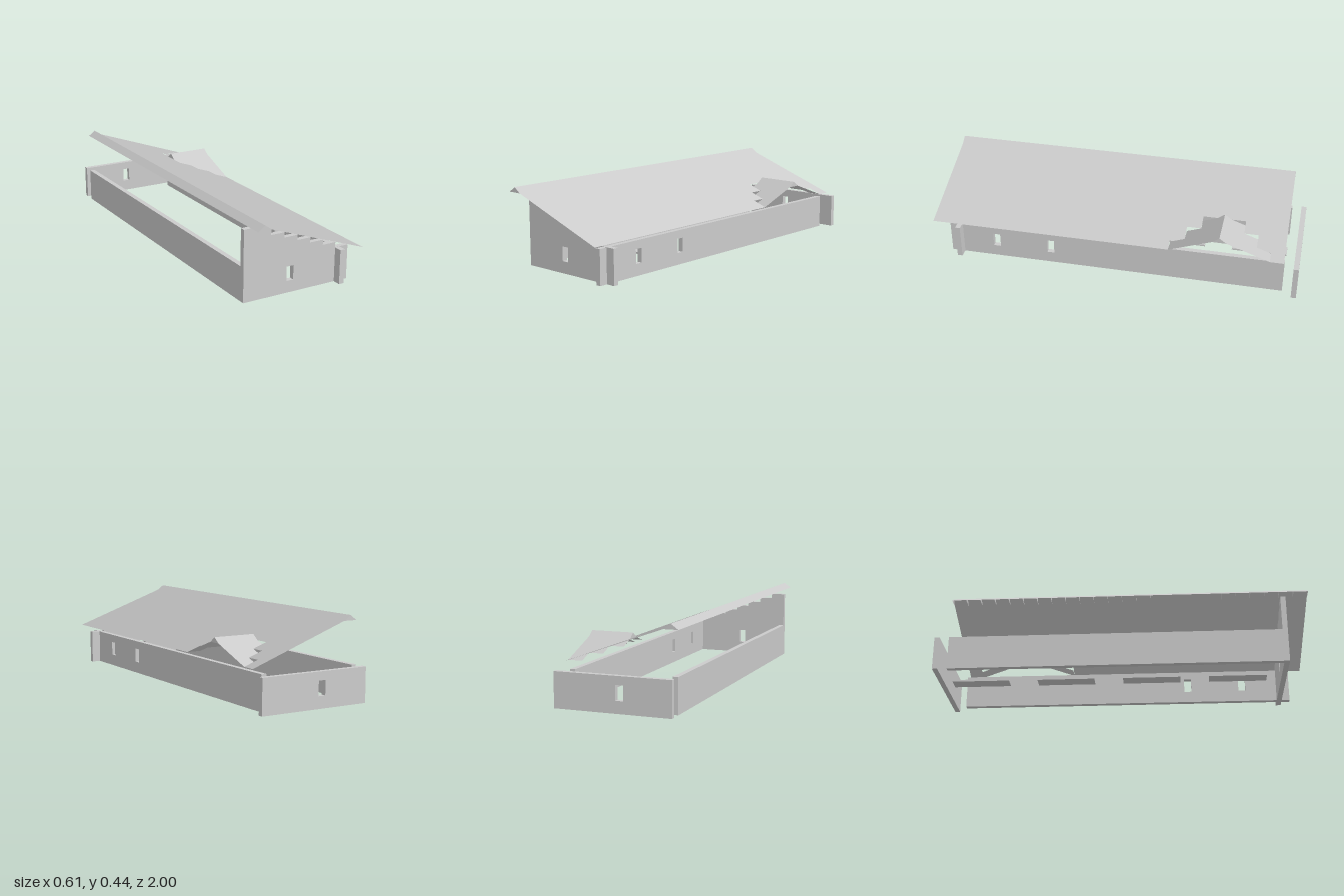
import * as THREE from 'three';

const S = 0.0768;   // roof module width
const D = 0.0275;   // drop per module
const T = 0.0276;   // wall thickness
const X = 4 * S;    // half width of the house
const BASE = 0.01;
const EAVE = 0.222;

const solid = new THREE.MeshStandardMaterial({ color: 0xcccccc, flatShading: true });
const roof = new THREE.MeshStandardMaterial({ color: 0xcccccc, side: THREE.DoubleSide });

function add(parent, name, geometry, material = solid) {
  const mesh = new THREE.Mesh(geometry, material);
  mesh.name = name;
  parent.add(mesh);
  return mesh;
}

function polygon(points) {
  return new THREE.Shape(points.map(([x, y]) => new THREE.Vector2(x, y)));
}

// Wall panel with window openings, each given by its centre
function panel(outline, windows) {
  const shape = polygon(outline);
  for (const u of windows) {
    const w = 0.02;
    shape.holes.push(polygon([[u - w, 0.073], [u - w, 0.149], [u + w, 0.149], [u + w, 0.073]]));
  }
  return new THREE.ExtrudeGeometry(shape, { depth: T, bevelEnabled: false });
}

function rectangle(a, b, bottom, top) {
  return [[a, bottom], [b, bottom], [b, top], [a, top]];
}

// One normal for a whole roof side, so that cap and slope shade as one surface
function shadeAs(geometry, x, z) {
  const n = new THREE.Vector3(x, 1, z).normalize();
  const count = geometry.attributes.position.count;
  const values = Array.from({ length: count }, () => n.toArray()).flat();
  geometry.setAttribute('normal', new THREE.Float32BufferAttribute(values, 3));
  return geometry;
}

function quad(a, b, c, d) {
  const g = new THREE.BufferGeometry();
  g.setAttribute('position', new THREE.Float32BufferAttribute([a, b, c, a, c, d].flat(), 3));
  return g;
}

// Open-bottomed ridge cap running along +z, with a triangular rib per module
function ridgeCap(name, modules) {
  const group = new THREE.Group();
  group.name = name;
  const w = S / 2, L = modules * S;
  const left = quad([-w, 0, 0], [-w, 0, L], [0, D, L], [0, D, 0]);
  const right = quad([0, D, 0], [0, D, L], [w, 0, L], [w, 0, 0]);
  add(group, 'capLeftSlope', shadeAs(left, -1, 0), roof);
  add(group, 'capRightSlope', shadeAs(right, 1, 0), roof);
  const rib = new THREE.ShapeGeometry(polygon([[-w, 0], [w, 0], [0, D]]));
  for (let i = 0; i <= modules; i++) add(group, 'capRib', rib, roof).position.z = i * S;
  return group;
}

export function createModel() {
  const house = new THREE.Group();
  house.name = 'house';

  // Front gable, stepped under the roof slope
  const gable = [[-X, BASE], [X, BASE]];
  for (let i = 7; i >= 0; i--) {
    const top = 0.387 - i * D;
    gable.push([-X + (i + 1) * S, top], [-X + i * S, top]);
  }
  add(house, 'frontGable', panel(gable, [-0.039])).position.z = 0.85;

  // Low back wall
  add(house, 'backWall', panel(rectangle(-X, X, BASE, 0.193), [-0.039])).position.z = -1;

  // Long side walls; the panel is drawn along -z
  const sideWall = (name, x, front, windows) => {
    const wall = add(house, name, panel(rectangle(-front, 0.922, BASE, 0.193), windows));
    wall.rotation.y = Math.PI / 2;
    wall.position.x = x;
  };
  sideWall('windowedSideWall', 3 * S, 0.922, [-0.657, -0.35]);
  sideWall('plainSideWall', -X, 0.85, []);

  // Floor plates
  for (let i = 0; i < 4; i++) {
    const plate = add(house, 'floorPlate', new THREE.BoxGeometry(S, BASE, 4 * S));
    plate.position.set(-1.5 * S, BASE / 2, 0.615 - i * 6 * S);
  }

  // Main roof slope with a stepped opening for the dormer, drawn in (x, -z)
  const zMid = -0.578;
  const outline = [[-3 * S, -1], [X, -1]];
  for (let i = 0; i < 3; i++) {
    const v = -zMid - (3.5 - i) * S;
    outline.push([(4 - i) * S, v], [(3 - i) * S, v]);
  }
  for (let i = 2; i >= 0; i--) {
    const v = -zMid + (3.5 - i) * S;
    outline.push([(3 - i) * S, v], [(4 - i) * S, v]);
  }
  outline.push([X, 0.92], [-3 * S, 0.92]);
  const slope = new THREE.ShapeGeometry(polygon(outline));
  const p = slope.attributes.position;
  for (let i = 0; i < p.count; i++) {
    const x = p.getX(i);
    p.setXYZ(i, x, EAVE + (X - x) * D / S, -p.getY(i));
  }
  add(house, 'mainRoof', shadeAs(slope, 1, 0), roof);

  const cap = ridgeCap('mainRidge', 25);
  cap.position.set(-3.5 * S, EAVE + 7 * D, -0.92);
  house.add(cap);

  // Dormer: ridge and two stepped slopes
  const dormerCap = ridgeCap('dormerRidge', 3);
  dormerCap.rotation.y = Math.PI / 2;
  dormerCap.position.set(S, EAVE + 3 * D, zMid);
  house.add(dormerCap);
  for (const side of [-1, 1]) {
    for (let i = 0; i < 3; i++) {
      const x = (1 + i) * S, y = EAVE + (3 - i) * D;
      const z0 = zMid + side * (0.5 + i) * S, z1 = z0 + side * S;
      const corners = [[x, y, z0], [x, y - D, z1], [X, y - D, z1], [X, y, z0]];
      if (side < 0) corners.reverse();
      add(house, 'dormerRoof', shadeAs(quad(...corners), 0, side), roof);
    }
  }
  return house;
}
